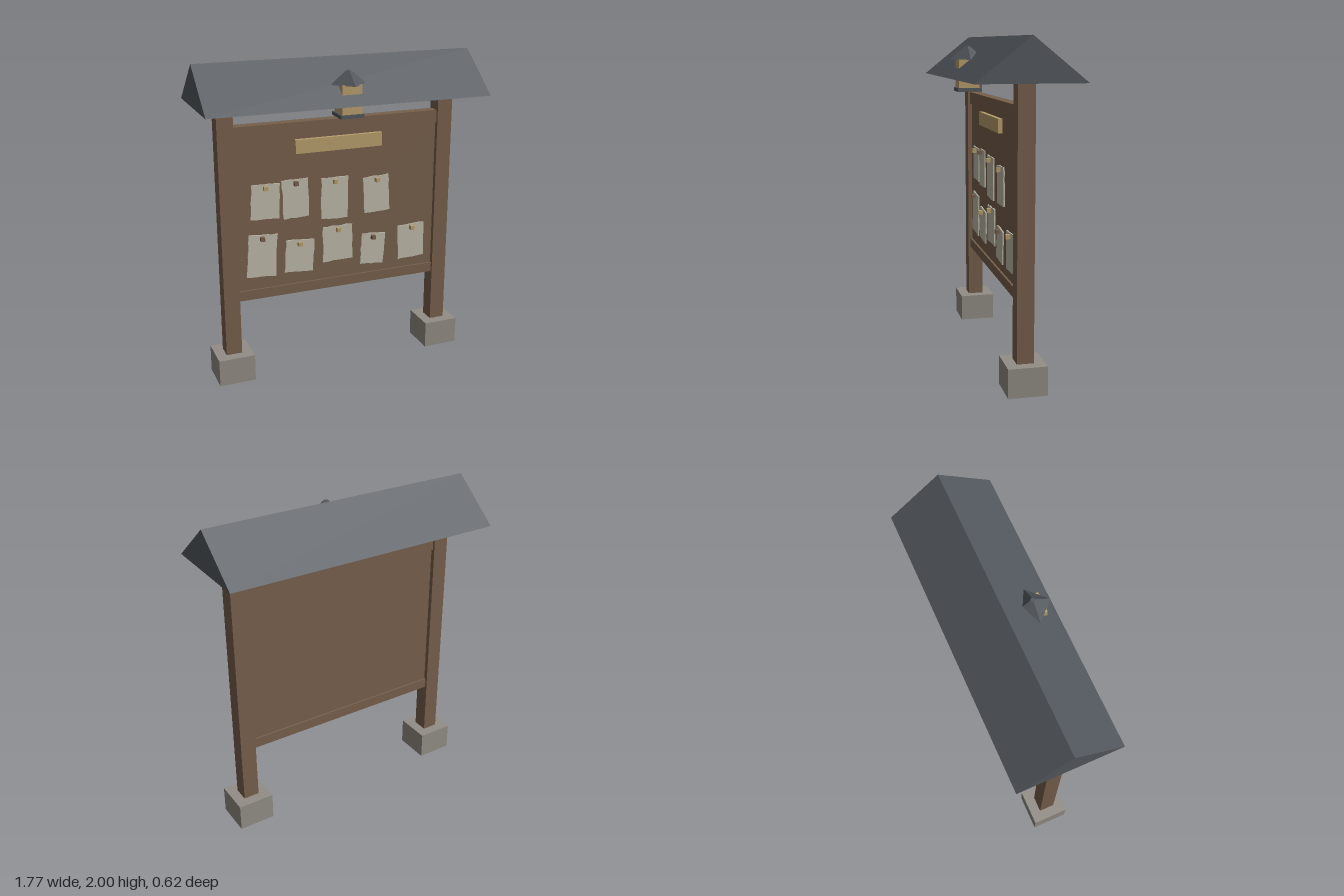
import * as THREE from 'three';

const mat = (name, color) => Object.assign(new THREE.MeshStandardMaterial({ color }), { name });

export function createModel() {
  const wood = mat('brown wood', 0x775f4c);
  const stone = mat('grey stone', 0x928d85);
  const slate = mat('dark slate', 0x54595f);
  const paper = mat('old paper', 0xbeb9a8);
  const brass = mat('pale brass', 0xb89f6c);

  const model = new THREE.Group();
  model.name = 'noticeBoard';
  const add = (name, geometry, material, x = 0, y = 0, z = 0, parent = model) => {
    const mesh = new THREE.Mesh(geometry, material);
    mesh.name = name;
    mesh.position.set(x, y, z);
    parent.add(mesh);
    return mesh;
  };
  // box given by its bottom and top heights
  const box = (name, w, y0, y1, d, material, x = 0, z = 0, parent = model) =>
    add(name, new THREE.BoxGeometry(w, y1 - y0, d), material, x, (y0 + y1) / 2, z, parent);

  // posts standing through their stone footings
  for (const [side, s] of [['left', 1], ['right', -1]]) {
    box(side + 'Post', 0.1, 0, 1.75, 0.1, wood, s * 0.716);
    box(side + 'Footing', 0.23, 0.002, 0.175, 0.23, stone, s * 0.716);
  }

  // board and its rails
  box('panel', 1.34, 0.56, 1.57, 0.044, wood);
  box('topRail', 1.34, 1.545, 1.625, 0.07, wood);
  box('bottomRail', 1.34, 0.52, 0.583, 0.07, wood);
  box('signPlate', 0.567, 1.432, 1.518, 0.03, brass, -0.002, 0.033);

  // solid gable roof
  const gable = new THREE.Shape([
    new THREE.Vector2(-0.312, 1.75), new THREE.Vector2(0.312, 1.75), new THREE.Vector2(0, 2),
  ]);
  const roof = new THREE.ExtrudeGeometry(gable, { depth: 1.77, bevelEnabled: false });
  roof.translate(0, 0, -0.885).rotateY(Math.PI / 2);
  add('roof', roof, slate);

  // lantern set into the front slope
  const lantern = new THREE.Group();
  lantern.name = 'lantern';
  lantern.position.z = 0.178;
  model.add(lantern);
  box('lanternBase', 0.146, 1.668, 1.69, 0.146, slate, 0, 0, lantern);
  box('lanternBody', 0.126, 1.69, 1.862, 0.126, brass, 0, 0, lantern);
  const cap = new THREE.CylinderGeometry(0.016, 0.11, 0.08, 4).toNonIndexed();
  cap.computeVertexNormals();
  add('lanternCap', cap, slate, 0, 1.9, 0, lantern);

  // seeded wobble for the ragged paper edges
  let seed = 7;
  const wobble = () => {
    seed = (seed * 16807) % 2147483647;
    return (seed / 2147483647 - 0.5) * 0.006;
  };
  const sheet = (w, h) => {
    const corners = [[-1, -1], [1, -1], [1, 1], [-1, 1]];
    const points = [];
    corners.forEach(([x, y], i) => {
      const [nx, ny] = corners[(i + 1) % 4];
      for (let k = 0; k < 6; k++) {
        const t = k / 6;
        points.push(new THREE.Vector2(
          (x + (nx - x) * t) * w / 2 + wobble(), (y + (ny - y) * t) * h / 2 + wobble()));
      }
    });
    return new THREE.ExtrudeGeometry(new THREE.Shape(points), { depth: 0.009, bevelEnabled: false });
  };

  // notices: x, y, width, height, tilt, pin material
  const notices = [
    [-0.48, 1.148, 0.18, 0.222, -0.035, brass],
    [-0.286, 1.146, 0.168, 0.245, 0.03, wood],
    [-0.028, 1.12, 0.178, 0.267, -0.025, brass],
    [0.257, 1.114, 0.175, 0.238, 0.05, brass],
    [-0.508, 0.8, 0.185, 0.275, -0.07, wood],
    [-0.265, 0.767, 0.187, 0.21, -0.06, brass],
    [-0.008, 0.817, 0.2, 0.233, 0.02, brass],
    [0.235, 0.746, 0.163, 0.207, -0.07, wood],
    [0.51, 0.763, 0.185, 0.232, 0.03, brass],
  ];
  notices.forEach(([x, y, w, h, tilt, pinMaterial], i) => {
    add('notice' + (i + 1), sheet(w, h), paper, x, y, 0.022).rotation.z = tilt;
    add('pin' + (i + 1), new THREE.BoxGeometry(0.026, 0.026, 0.028), pinMaterial, x, y + h / 2 - 0.022, 0.043);
  });

  return model;
}
